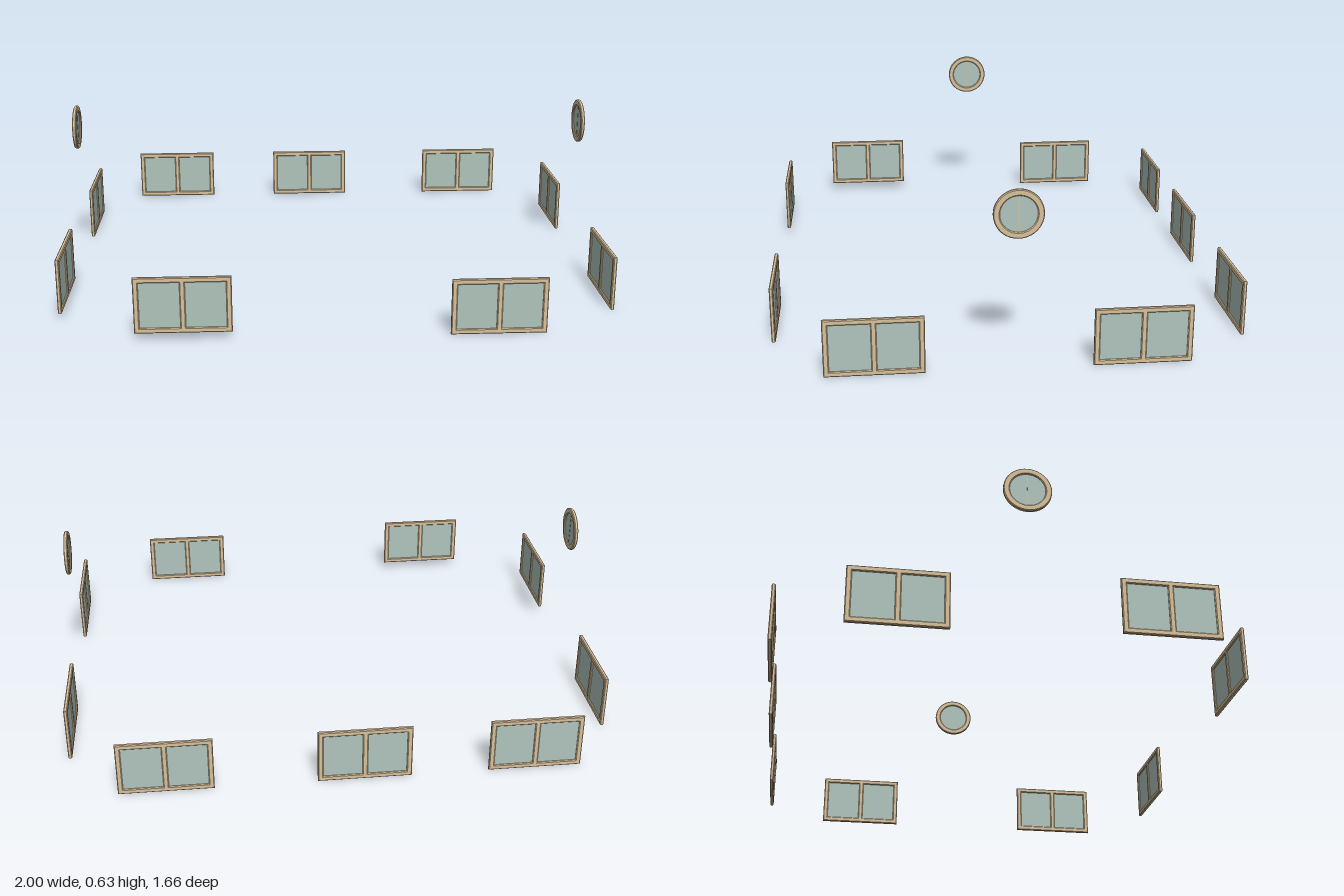
import * as THREE from 'three';

const W = 0.336, H = 0.203, BAR = 0.019, DEPTH = 0.014, BEVEL = 0.003;
const frameMat = new THREE.MeshStandardMaterial({ color: 0xd9c09a });
const glassMat = new THREE.MeshStandardMaterial({ color: 0xafc4bc });

function add(group, name, geometry, material) {
  const mesh = new THREE.Mesh(geometry, material);
  mesh.name = name;
  group.add(mesh);
  return mesh;
}

// Rectangle outline around (cx, 0)
function rect(target, cx, w, h) {
  target.moveTo(cx - w / 2, -h / 2);
  target.lineTo(cx + w / 2, -h / 2);
  target.lineTo(cx + w / 2, h / 2);
  target.lineTo(cx - w / 2, h / 2);
  target.closePath();
  return target;
}

// Chamfered frame, centred on its own depth
function extrudeFrame(shape, curveSegments = 1) {
  const geo = new THREE.ExtrudeGeometry(shape, {
    depth: DEPTH - 2 * BEVEL, bevelEnabled: true, bevelSegments: 1,
    bevelSize: BEVEL, bevelThickness: BEVEL, bevelOffset: -BEVEL, curveSegments,
  });
  return geo.translate(0, 0, -(DEPTH - 2 * BEVEL) / 2);
}

// Two-pane sash window
function sashWindow() {
  const g = new THREE.Group();
  const shape = rect(new THREE.Shape(), 0, W, H);
  const paneW = (W - 3 * BAR) / 2;
  for (const s of [-1, 1]) {
    const cx = s * (paneW + BAR) / 2;
    shape.holes.push(rect(new THREE.Path(), cx, paneW, H - 2 * BAR));
    add(g, 'glassPane', new THREE.BoxGeometry(paneW + 0.008, H - 2 * BAR + 0.008, 0.004), glassMat)
      .position.x = cx;
  }
  add(g, 'windowFrame', extrudeFrame(shape), frameMat);
  return g;
}

// Round window with a slim centre bar
function roundWindow() {
  const g = new THREE.Group();
  const R = 0.084, r = 0.062;
  const shape = new THREE.Shape().absarc(0, 0, R, 0, Math.PI * 2, false);
  shape.holes.push(new THREE.Path().absarc(0, 0, r, 0, Math.PI * 2, true));
  add(g, 'roundFrame', extrudeFrame(shape, 20), frameMat);
  add(g, 'roundGlass', new THREE.CylinderGeometry(r + 0.004, r + 0.004, 0.004, 40).rotateX(Math.PI / 2), glassMat);
  add(g, 'roundGlazingBar', new THREE.BoxGeometry(0.003, 2 * r, 0.006), frameMat);
  return g;
}

export function createModel() {
  const model = new THREE.Group();
  model.name = 'houseWindows';
  const low = H / 2, high = low + 0.028, SIDE = 1 - DEPTH / 2, END = 0.822;

  // name, x, y, z, turn about y
  const sashes = [
    ['backWindowRight', -0.67, low, -END, Math.PI],
    ['backWindowMiddle', -0.055, low, -END, Math.PI],
    ['backWindowLeft', 0.645, low, -END, Math.PI],
    ['frontWindowRight', -0.545, high, END, 0],
    ['frontWindowLeft', 0.545, low, END, 0],
    ['leftWindowFront', SIDE, low, 0.475, Math.PI / 2],
    ['leftWindowBack', SIDE, low, -0.425, Math.PI / 2],
    ['rightWindowFront', -SIDE, high, 0.475, -Math.PI / 2],
    ['rightWindowBack', -SIDE, low, -0.425, -Math.PI / 2],
  ];
  for (const [name, x, y, z, turn] of sashes) {
    const w = sashWindow();
    w.name = name;
    w.position.set(x, y, z);
    w.rotation.y = turn;
    model.add(w);
  }

  // Gable windows
  for (const s of [-1, 1]) {
    const w = roundWindow();
    w.name = s > 0 ? 'leftRoundWindow' : 'rightRoundWindow';
    w.position.set(s * SIDE, 0.546, 0);
    w.rotation.y = s * Math.PI / 2;
    model.add(w);
  }
  return model;
}
